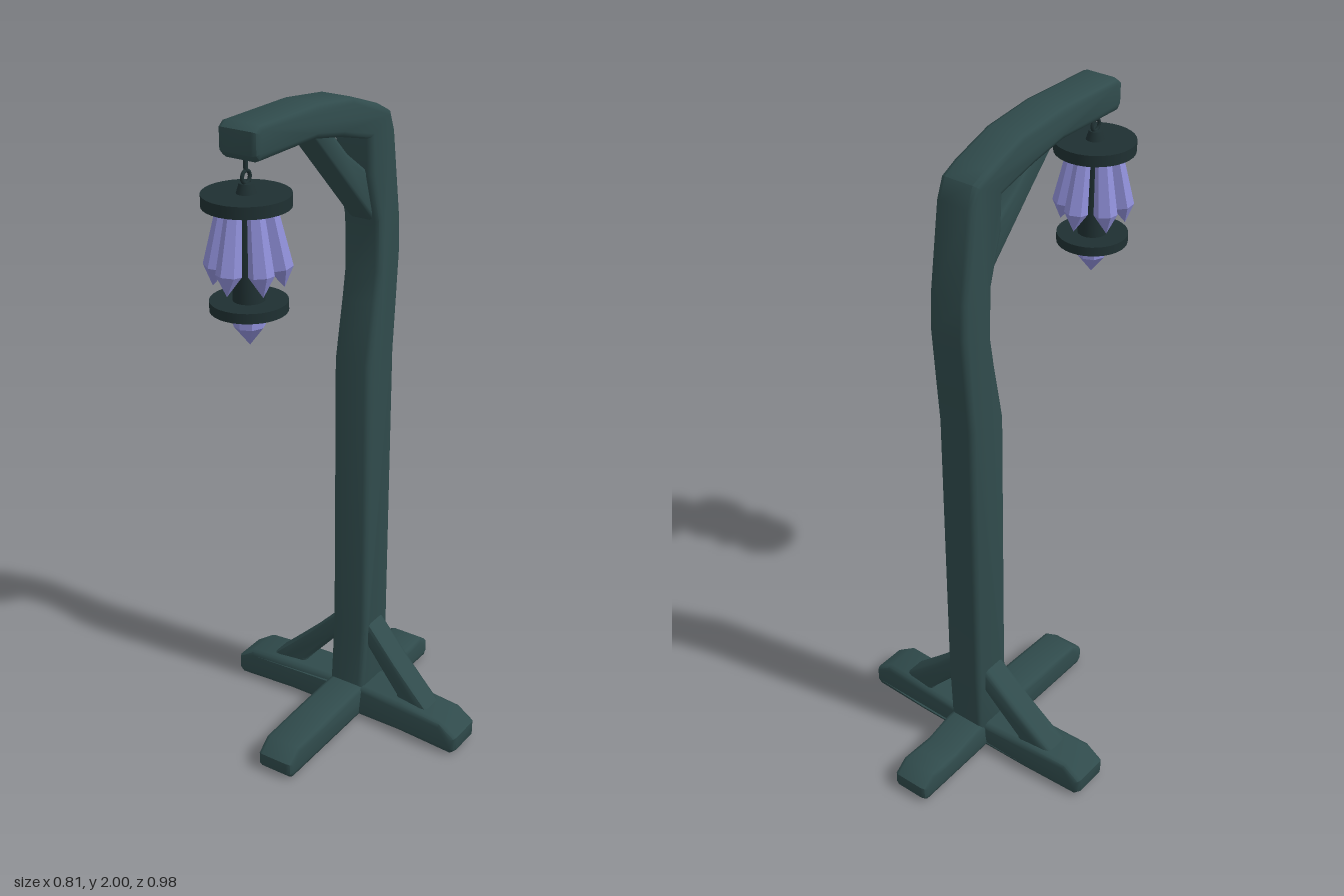
import * as THREE from 'three';
import { toCreasedNormals } from 'three/addons/utils/BufferGeometryUtils.js';

const wood = new THREE.MeshStandardMaterial({ color: 0x304b4c });
const iron = new THREE.MeshStandardMaterial({ color: 0x1f3032 });
const crystal = new THREE.MeshStandardMaterial({ color: 0x8f8fd8, flatShading: true });

function add(parent, name, geometry, material) {
  const mesh = new THREE.Mesh(geometry, material);
  mesh.name = name;
  parent.add(mesh);
  return mesh;
}

// Beam with rounded edges: an outline extruded to a width, centred on its depth
function beam(points, width, bevel = 0.016) {
  const shape = new THREE.Shape(points.map(([x, y]) => new THREE.Vector2(x, y)));
  const geometry = new THREE.ExtrudeGeometry(shape, {
    depth: width - 2 * bevel, bevelThickness: bevel, bevelSize: bevel,
    bevelOffset: -bevel, bevelSegments: 2,
  });
  return geometry.translate(0, 0, bevel - width / 2);
}

// Beam whose outline is given as [z, y]
const sideBeam = (points, width, bevel) =>
  toCreasedNormals(beam(points, width, bevel).rotateY(-Math.PI / 2), 0.8);

// Shift depth along x by a rule
function shiftZ(geometry, rule) {
  const p = geometry.attributes.position;
  for (let i = 0; i < p.count; i++) p.setZ(i, p.getZ(i) + rule(Math.abs(p.getX(i))));
  return toCreasedNormals(geometry, 0.8);
}

function createStand() {
  const stand = new THREE.Group();
  stand.name = 'stand';

  // Crooked post and arm in one sweep
  add(stand, 'postAndArm', sideBeam([
    [-0.215, 0.03], [-0.228, 0.3], [-0.238, 1.2], [-0.247, 1.3], [-0.264, 1.5],
    [-0.26, 1.6], [-0.225, 1.85], [-0.203, 1.908], [-0.15, 1.935], [-0.02, 1.98],
    [0.14, 1.999], [0.39, 2.0], [0.41, 1.985], [0.41, 1.925], [0.395, 1.908],
    [0.15, 1.908], [0.03, 1.885], [-0.1, 1.85], [-0.105, 1.75], [-0.146, 1.61],
    [-0.15, 1.46], [-0.135, 1.37], [-0.1, 1.19], [-0.095, 0.3], [-0.075, 0.03],
  ], 0.12), wood);

  // Diagonal under the arm
  add(stand, 'armBrace', sideBeam([
    [0.16, 1.93], [0.06, 1.91], [-0.02, 1.83], [-0.11, 1.765],
    [-0.17, 1.72], [-0.17, 1.59], [-0.14, 1.615],
  ], 0.08, 0.012), wood);

  // Foot running front to back
  add(stand, 'longFoot', sideBeam([
    [0.295, 0], [0.31, 0.015], [0.31, 0.055], [0.265, 0.092], [0.1, 0.1],
    [-0.05, 0.105], [-0.24, 0.105], [-0.33, 0.083], [-0.39, 0.086], [-0.445, 0.088],
    [-0.488, 0.055], [-0.488, 0.015], [-0.475, 0], [-0.15, 0.005],
  ], 0.12), wood);

  // Foot running side to side, its ends swept slightly forward
  const half = [[0.07, 0.104], [0.2, 0.104], [0.35, 0.098], [0.405, 0.06], [0.405, 0.015], [0.39, 0], [0.2, 0.004]];
  const outline = [...half, ...half.slice().reverse().map(([x, y]) => [-x, y])];
  add(stand, 'crossFoot', shiftZ(beam(outline, 0.128),
    (x) => -0.143 + 0.02 * Math.min(1, x / 0.35)), wood);

  // Diagonals from the post to the cross foot
  for (const side of [1, -1]) {
    const points = [[0.03, 0.345], [0.06, 0.318], [0.16, 0.215], [0.235, 0.145], [0.29, 0.095],
      [0.28, 0.06], [0.17, 0.07], [0.17, 0.108], [0.11, 0.175], [0.06, 0.232], [0.03, 0.255]];
    const outlineSide = points.map(([x, y]) => [side * x, y]);
    add(stand, side > 0 ? 'leftFootBrace' : 'rightFootBrace',
      shiftZ(beam(outlineSide, 0.082, 0.013), (x) => -0.162 + 0.11 * x), wood);
  }
  return stand;
}

function createLantern() {
  const lantern = new THREE.Group();
  lantern.name = 'lantern';
  lantern.position.z = 0.375;

  // Round metal parts as [name, top radius, bottom radius, bottom, top]
  for (const [name, rTop, rBottom, y0, y1] of [
    ['topPlate', 0.114, 0.114, 1.788, 1.82],
    ['topCap', 0.018, 0.026, 1.82, 1.845],
    ['hanger', 0.006, 0.006, 1.875, 1.92],
    ['core', 0.03, 0.042, 1.54, 1.79],
    ['bottomPlate', 0.101, 0.101, 1.515, 1.542],
  ]) {
    const geometry = new THREE.CylinderGeometry(rTop, rBottom, y1 - y0, 32);
    add(lantern, name, geometry.translate(0, (y0 + y1) / 2, 0), iron);
  }
  const ring = add(lantern, 'hangerRing', new THREE.TorusGeometry(0.016, 0.005, 8, 20), iron);
  ring.position.y = 1.86;
  ring.rotation.y = Math.PI / 2;

  // Six crystals leaning outward around the core
  const shard = new THREE.LatheGeometry(
    [[0, -0.115], [0.033, -0.062], [0.021, 0.1], [0, 0.105]].map(([x, y]) => new THREE.Vector2(x, y)), 6);
  for (let i = 0; i < 6; i++) {
    const pivot = new THREE.Group();
    pivot.name = 'crystalMount';
    pivot.rotation.y = (i * Math.PI) / 3;
    const mesh = add(pivot, 'sideCrystal', shard, crystal);
    mesh.position.set(0, 1.69, 0.071);
    mesh.rotation.x = -0.17;
    lantern.add(pivot);
  }

  // Crystal point beneath the lower plate
  const tip = new THREE.LatheGeometry(
    [[0, 1.418], [0.042, 1.472], [0.042, 1.517]].map(([x, y]) => new THREE.Vector2(x, y)), 8);
  add(lantern, 'bottomCrystal', tip, crystal);
  return lantern;
}

export function createModel() {
  const model = new THREE.Group();
  model.name = 'lampPost';
  model.add(createStand(), createLantern());
  return model;
}
